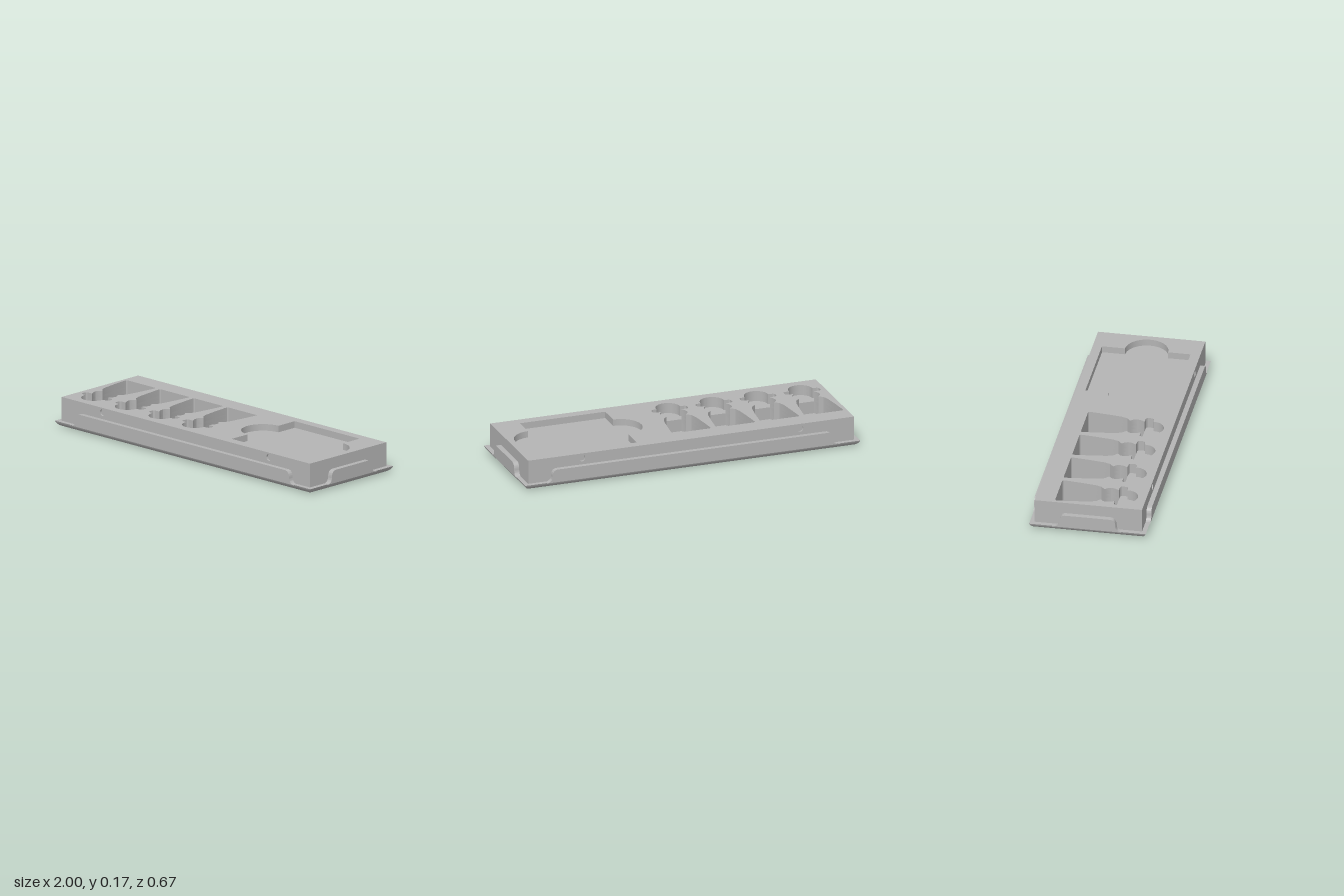
import * as THREE from 'three';
import { toCreasedNormals } from 'three/addons/utils/BufferGeometryUtils.js';

const grey = new THREE.MeshStandardMaterial({ color: 0xb4b4b4 });
grey.name = 'plain grey';

const HX = 0.97, HZ = 0.305, TOP = 0.171, RIM = 0.033; // body half sizes, heights
const OX = 1, OZ = 0.333, SKIN = 0.01; // tray half sizes, body face plate

function mesh(name, geometry) {
  const m = new THREE.Mesh(geometry, grey);
  m.name = name;
  return m;
}

const extrude = (shape, depth) => toCreasedNormals(
  new THREE.ExtrudeGeometry(shape, { depth, bevelEnabled: false, curveSegments: 16 }), 0.5);

const rect = (x0, y0, x1, y1) => new THREE.Shape(
  [[x0, y0], [x1, y0], [x1, y1], [x0, y1]].map(([x, y]) => new THREE.Vector2(x, y)));

// Mirror a half outline (x, z) about x = cx and turn it into a plan path
function mirrored(half, cx) {
  const right = half.map(([x, z]) => new THREE.Vector2(cx + x, -z));
  const left = half.filter(([x]) => x > 0.0001).reverse().map(([x, z]) => new THREE.Vector2(cx - x, -z));
  return new THREE.Path([...right, ...left]);
}

// Half outlines of the narrow pockets: deep part, then collar and round end
const deepHalf = [
  [0.108, -0.193], [0.115, -0.188], [0.115, -0.17], [0.105, -0.08], [0.094, 0], [0.082, 0.035], [0.058, 0.056],
  [0.074, 0.072], [0.08, 0.09], [0.076, 0.112], [0.062, 0.137],
];
const headHalf = [[0.095, 0.138], [0.104, 0.144], [0.107, 0.16], [0.104, 0.177], [0.095, 0.183], [0.07, 0.185]];
for (let i = 1; i <= 12; i++) {
  const a = (i / 12) * Math.PI / 2;
  headHalf.push([0.07 * Math.cos(a), 0.187 + 0.07 * Math.sin(a)]);
}
const centres = [-0.835, -0.572, -0.309, -0.046];

// Square pocket with a finger scoop on each side
function widePocket() {
  const p = new THREE.Path();
  const x0 = 0.305, x1 = 0.812, r = 0.122;
  p.moveTo(x0, -0.25);
  p.lineTo(x1, -0.25);
  p.lineTo(x1, -r);
  p.absarc(x1, 0, r, -Math.PI / 2, Math.PI / 2, false);
  p.lineTo(x1, 0.253);
  p.lineTo(x0, 0.253);
  p.lineTo(x0, r);
  p.absarc(x0, 0, r, Math.PI / 2, Math.PI * 1.5, false);
  p.lineTo(x0, -0.25);
  return p;
}

// Body: stacked slabs whose holes form the stepped pockets
function makeBody() {
  const body = new THREE.Group();
  body.name = 'body';
  const full = centres.map((c) => mirrored([...deepHalf, ...headHalf], c));
  const deep = centres.map((c) => mirrored(deepHalf, c));
  const layers = [
    ['pocketFloorSlab', RIM, 0.04, []],
    ['deepPocketSlab', 0.04, 0.111, deep],
    ['steppedPocketSlab', 0.111, 0.133, full],
    ['topSlab', 0.133, TOP, [...full, widePocket()]],
  ];
  for (const [name, y0, y1, holes] of layers) {
    const shape = rect(-HX, -HZ + SKIN, HX, HZ - SKIN);
    shape.holes.push(...holes);
    const slab = mesh(name, extrude(shape, y1 - y0));
    slab.rotation.x = -Math.PI / 2;
    slab.position.y = y0;
    body.add(slab);
  }
  // Long face plates with two round dimples each
  for (const s of [1, -1]) {
    const shape = rect(-HX, RIM, HX, TOP);
    for (const x of [-0.65, 0.65]) {
      shape.holes.push(new THREE.Path().absarc(x, 0.143, 0.019, 0, Math.PI * 2, true));
    }
    const plate = mesh(s > 0 ? 'frontFace' : 'backFace', extrude(shape, SKIN));
    plate.position.z = s * (HZ - SKIN);
    if (s < 0) plate.rotation.y = Math.PI;
    body.add(plate);
  }
  return body;
}

// Tray base: rounded lower edge, mitred at the four corners
function makeTrayBase() {
  const base = new THREE.Group();
  base.name = 'trayBase';
  const r = 0.047, steps = 10;
  const signs = [[-1, 1], [1, 1], [1, -1], [-1, -1]];
  const end = Math.acos((r - RIM) / r);
  for (let k = 0; k < 4; k++) {
    const ends = [signs[k], signs[(k + 1) % 4]];
    const pos = [], idx = [];
    for (let i = 0; i <= steps; i++) {
      const a = (i / steps) * end;
      const inset = r - r * Math.sin(a), y = r - r * Math.cos(a);
      for (const [sx, sz] of ends) pos.push(sx * (OX - inset), y, sz * (OZ - inset));
      if (i < steps) {
        const n = i * 2;
        idx.push(n, n + 1, n + 3, n, n + 3, n + 2);
      }
    }
    const g = new THREE.BufferGeometry();
    g.setAttribute('position', new THREE.Float32BufferAttribute(pos, 3));
    g.setIndex(idx);
    g.computeVertexNormals();
    base.add(mesh('roundedEdge', g));
  }
  const underside = mesh('underside', new THREE.PlaneGeometry(2 * (OX - r), 2 * (OZ - r)));
  underside.rotation.x = Math.PI / 2;
  const gap = r - r * Math.sin(end);
  const ledge = mesh('ledge', new THREE.PlaneGeometry(2 * (OX - gap), 2 * (OZ - gap)));
  ledge.rotation.x = -Math.PI / 2;
  ledge.position.y = RIM;
  base.add(underside, ledge);
  return base;
}

// Raised wall with S-curved ends; h is half the length of its top
function wallGeometry(h, thickness) {
  const y0 = RIM - 0.002, y1 = 0.106, ym = 0.068;
  const s = new THREE.Shape();
  s.moveTo(-h - 0.075, y0);
  s.lineTo(h + 0.075, y0);
  s.quadraticCurveTo(h + 0.035, y0, h + 0.035, ym);
  s.quadraticCurveTo(h + 0.033, y1, h, y1);
  s.lineTo(-h, y1);
  s.quadraticCurveTo(-h - 0.033, y1, -h - 0.035, ym);
  s.quadraticCurveTo(-h - 0.035, y0, -h - 0.075, y0);
  return extrude(s, thickness);
}

export function createModel() {
  const model = new THREE.Group();
  model.name = 'pocketTray';
  model.add(makeBody(), makeTrayBase());
  const longWall = wallGeometry(0.8, OZ - HZ), shortWall = wallGeometry(0.125, OX - HX);
  for (const s of [1, -1]) {
    const long = mesh(s > 0 ? 'frontWall' : 'backWall', longWall);
    long.position.z = s * HZ;
    long.rotation.y = s > 0 ? 0 : Math.PI;
    const short = mesh(s > 0 ? 'leftWall' : 'rightWall', shortWall);
    short.position.x = s * HX;
    short.rotation.y = s * Math.PI / 2;
    model.add(long, short);
  }
  return model;
}
